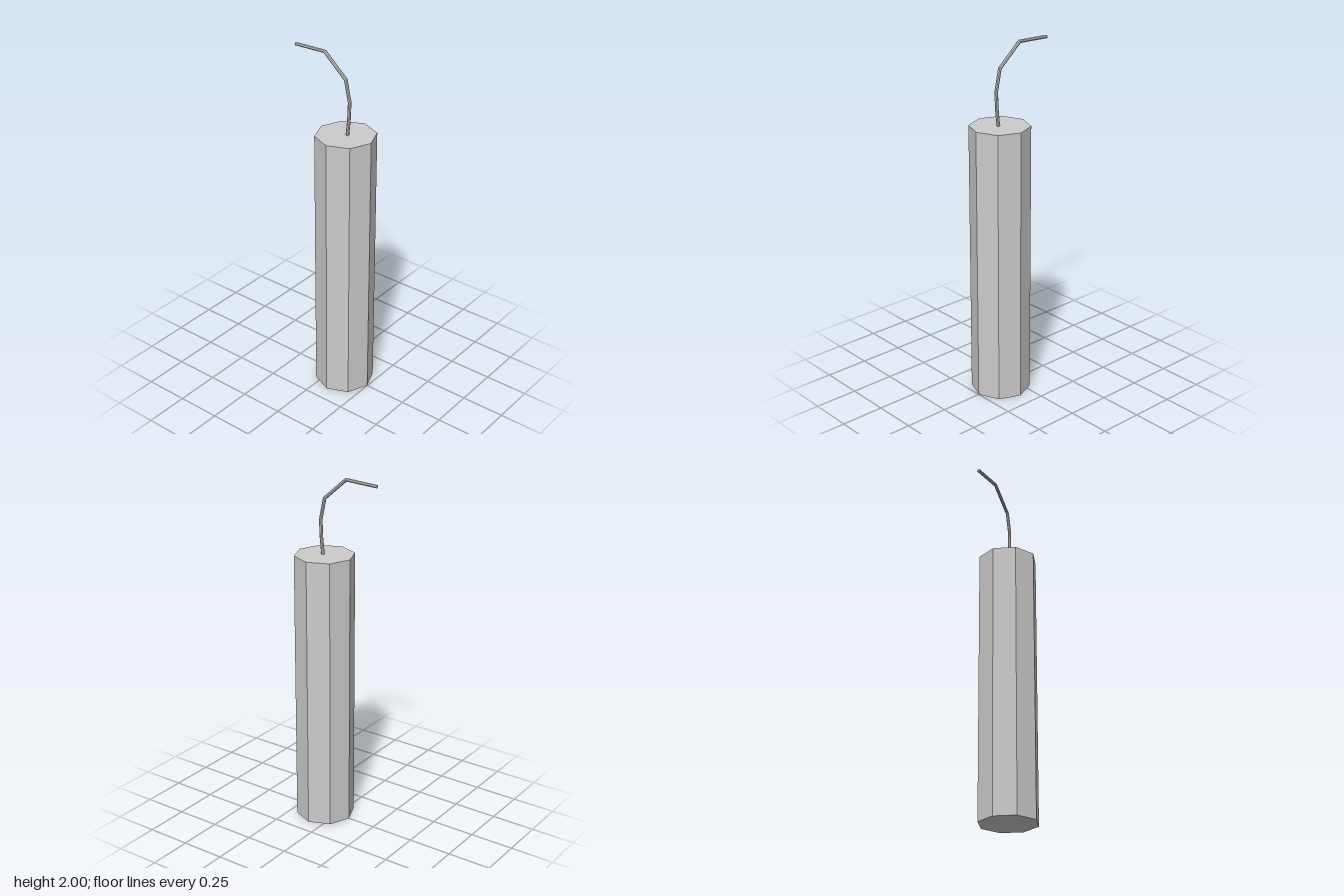
import * as THREE from 'three';

const material = new THREE.MeshStandardMaterial({ color: 0xcccccc, flatShading: true });

// Mitred tube along a bent path in the XY plane, with closed ends
function bentRod(points, radius, sides) {
  const path = points.map(([x, y]) => new THREE.Vector2(x, y));
  const last = path.length - 1;
  const positions = [], index = [];
  path.forEach((p, i) => {
    const before = p.clone().sub(path[Math.max(i - 1, 0)]).normalize();
    const after = path[Math.min(i + 1, last)].clone().sub(p).normalize();
    const dir = before.clone().add(after).normalize();
    const miter = radius / dir.dot(i < last ? after : before);
    for (let j = 0; j < sides; j++) {
      const a = (j / sides) * Math.PI * 2;
      const side = Math.cos(a) * miter;
      positions.push(p.x - dir.y * side, p.y + dir.x * side, Math.sin(a) * radius);
    }
  });
  for (let j = 0; j < sides; j++) {
    const k = (j + 1) % sides;
    for (let i = 0; i < last; i++) {
      const r = i * sides, s = r + sides;
      index.push(r + j, r + k, s + k, r + j, s + k, s + j);
    }
    // end caps as fans
    if (j > 0 && j < sides - 1) {
      const e = last * sides;
      index.push(0, k, j, e, e + j, e + k);
    }
  }
  const geometry = new THREE.BufferGeometry();
  geometry.setAttribute('position', new THREE.Float32BufferAttribute(positions, 3));
  geometry.setIndex(index);
  const flat = geometry.toNonIndexed();
  flat.computeVertexNormals();
  return flat;
}

export function createModel() {
  const model = new THREE.Group();
  model.name = 'fusedStick';

  // Octagonal stick
  const height = 1.56;
  const stick = new THREE.Mesh(new THREE.CylinderGeometry(0.166, 0.166, height, 8), material);
  stick.name = 'stick';
  stick.position.set(0.083, height / 2, 0);
  model.add(stick);

  // Thin bent fuse rising from the top and curling to one side
  const fuse = new THREE.Mesh(bentRod([
    [0.093, 1.555], [0.103, 1.65], [0.107, 1.75],
    [0.081, 1.87], [-0.056, 1.99], [-0.249, 1.983],
  ], 0.0095, 8), material);
  fuse.name = 'fuse';
  model.add(fuse);

  return model;
}
